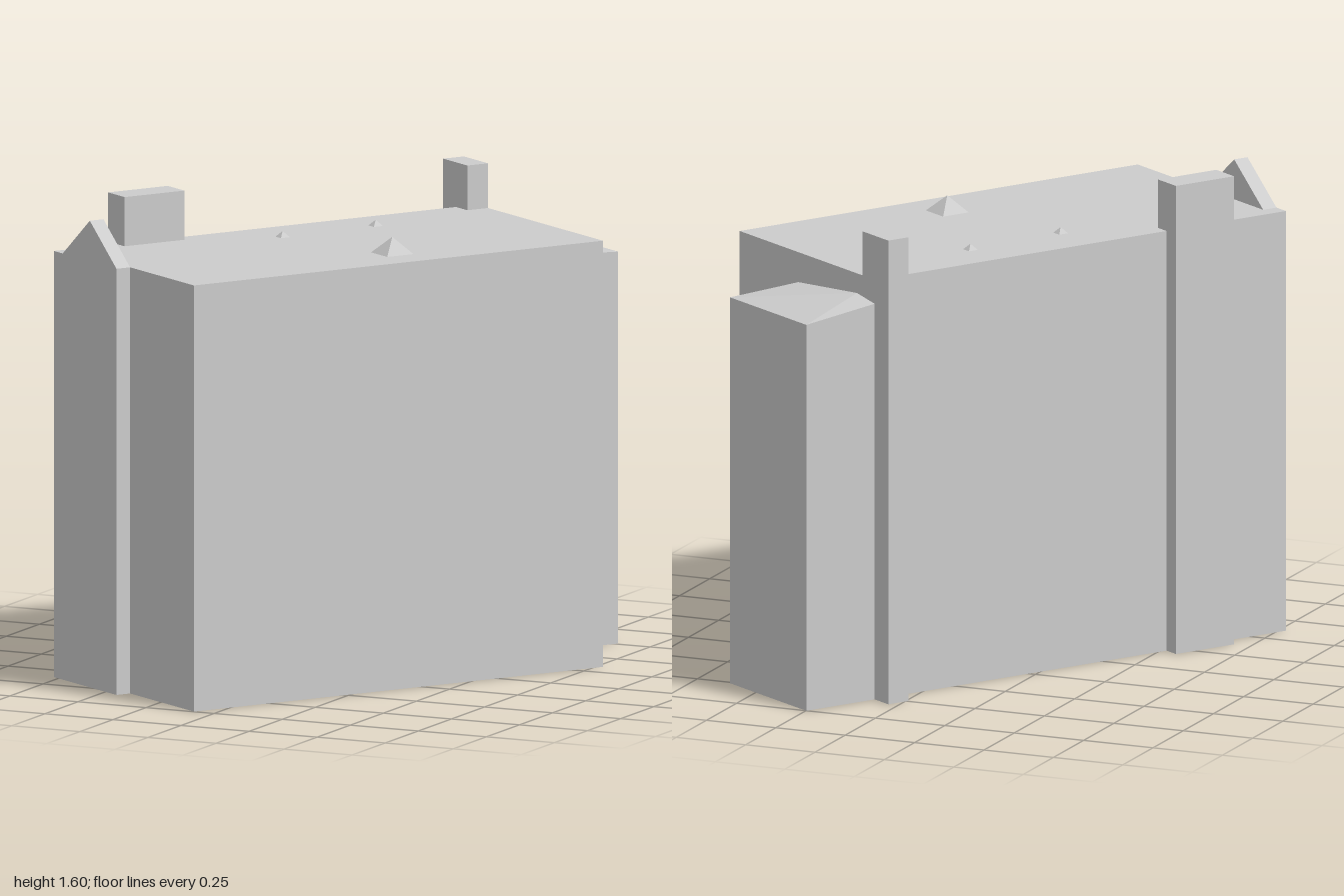
import * as THREE from 'three';

const WALL = 1.43; // height of the main walls

export function createModel() {
  const model = new THREE.Group();
  const building = new THREE.Group();
  building.name = 'building';
  // Whole building is turned on its plot; parts are laid out in its own axes
  building.rotation.y = -0.563;
  model.add(building);
  const material = new THREE.MeshStandardMaterial({ color: 0xcccccc, flatShading: true });

  const add = (name, geometry) => {
    const mesh = new THREE.Mesh(geometry, material);
    mesh.name = name;
    building.add(mesh);
    return mesh;
  };

  // Box given by its extents on the ground plan and its height
  const block = (name, x0, x1, z0, z1, top) => {
    const mesh = add(name, new THREE.BoxGeometry(x1 - x0, top, z1 - z0));
    mesh.position.set((x0 + x1) / 2, top / 2, (z0 + z1) / 2);
  };

  // Small four-sided pyramid standing on the flat roof
  const pyramid = (name, x, z, side, height) => {
    const geometry = new THREE.ConeGeometry(side / Math.SQRT2, height, 4, 1);
    geometry.rotateY(Math.PI / 4);
    add(name, geometry).position.set(x, WALL + height / 2, z);
  };

  // Main body: rectangular plan with a shallow bay on the front
  const plan = new THREE.Shape(
    [[-0.324, 0.937], [0.069, 0.937], [0.069, 0.884], [0.469, 0.884], [0.469, -0.706], [-0.324, -0.706]]
      .map(([x, z]) => new THREE.Vector2(x, -z))
  );
  const body = new THREE.ExtrudeGeometry(plan, { depth: WALL, bevelEnabled: false });
  body.rotateX(-Math.PI / 2);
  add('mainBody', body);

  // Thin gable above the front bay
  const gable = new THREE.Shape([
    new THREE.Vector2(-0.268, WALL),
    new THREE.Vector2(0.069, WALL),
    new THREE.Vector2(-0.098, 1.566),
  ]);
  add('frontGable', new THREE.ExtrudeGeometry(gable, { depth: 0.053, bevelEnabled: false }))
    .position.z = 0.884;

  // Rear wing: walls and a low roof fanned from a peak on the main wall
  const eaves = [
    [-0.324, 1.348, -0.706], [0.124, 1.328, -0.706], [0.124, 1.315, -0.979], [-0.324, 1.315, -0.979],
  ];
  const peak = [-0.22, 1.363, -0.706];
  const floor = eaves.map(([x, , z]) => [x, 0, z]);
  const triangles = [floor[0], floor[2], floor[1], floor[0], floor[3], floor[2]];
  eaves.forEach((a, i) => {
    const j = (i + 1) % 4;
    triangles.push(a, floor[i], floor[j], a, floor[j], eaves[j], a, eaves[j], peak);
  });
  const wing = new THREE.BufferGeometry();
  wing.setAttribute('position', new THREE.Float32BufferAttribute(triangles.flat(), 3));
  wing.computeVertexNormals();
  add('rearWing', wing);

  // Chimney stacks rising from the ground along the side wall
  block('rearChimney', -0.404, -0.252, -0.706, -0.626, 1.58);
  block('sideChimney', -0.379, -0.275, 0.46, 0.692, 1.595);

  // Rooflights
  pyramid('largeRooflight', 0.301, 0.009, 0.102, 0.055);
  pyramid('smallRooflight', -0.166, -0.216, 0.035, 0.02);
  pyramid('smallRooflight', -0.149, 0.156, 0.035, 0.02);

  return model;
}
